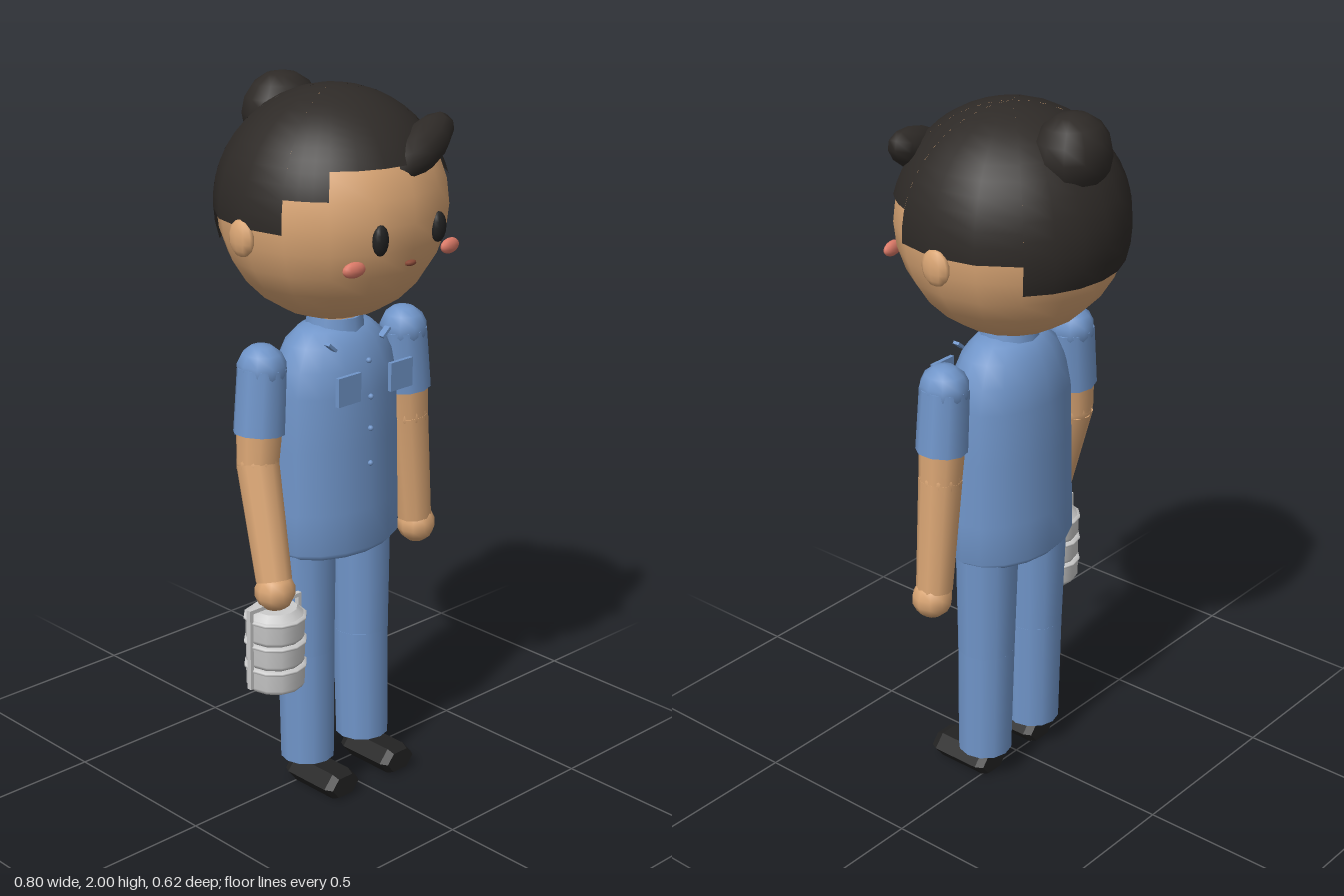
import * as THREE from 'three';

const CX = 0.017; // body centre line
const V = (x, y, z) => new THREE.Vector3(x, y, z);
const mat = (color, side = THREE.FrontSide) => new THREE.MeshStandardMaterial({ color, side });

export function createModel() {
  const model = new THREE.Group();
  model.name = 'uniformedFigure';
  const skin = mat(0xd9a574), cloth = mat(0x7095c9), hair = mat(0x2e2a27, THREE.DoubleSide);
  const dark = mat(0x222222), pink = mat(0xdc7a68), lip = mat(0x8a4a38), metal = mat(0xcccccc);

  const add = (name, geo, material, pos = V(0, 0, 0), parent = model) => {
    const m = new THREE.Mesh(geo, material);
    m.name = name;
    m.position.copy(pos);
    parent.add(m);
    return m;
  };
  const ball = (name, material, pos, rx, ry = rx, rz = rx, seg = 12, parent = model) => {
    const m = add(name, new THREE.SphereGeometry(1, seg, Math.max(6, seg * 0.7 | 0)), material, pos, parent);
    m.scale.set(rx, ry, rz);
    return m;
  };
  // Tapered cylinder running from point a down to point b
  const limb = (name, material, a, b, ra, rb, seg = 10, parent = model) => {
    const d = a.clone().sub(b);
    const m = add(name, new THREE.CylinderGeometry(ra, rb, d.length(), seg), material,
      a.clone().add(b).multiplyScalar(0.5), parent);
    m.quaternion.setFromUnitVectors(V(0, 1, 0), d.normalize());
    return m;
  };

  // Head and face
  const head = new THREE.Group();
  head.name = 'head';
  head.position.set(CX, 1.675, 0);
  model.add(head);
  add('skull', new THREE.SphereGeometry(0.309, 16, 14), skin, V(0, 0, 0), head);
  for (const s of [-1, 1]) {
    ball('ear', skin, V(s * 0.311, -0.043, -0.01), 0.022, 0.05, 0.044, 10, head);
    ball('eye', dark, V(s * 0.105, -0.03, 0.288), 0.025, 0.041, 0.017, 12, head);
    const cheek = ball('cheek', pink, V(s * 0.175, -0.098, 0.264), 0.036, 0.021, 0.015, 12, head);
    cheek.rotation.y = s * 0.12;
  }
  ball('mouth', lip, V(0, -0.106, 0.292), 0.02, 0.008, 0.01, 8, head);

  // Stepped hair cap: [start angle, end angle from the front, height of lower edge]
  const hairCap = new THREE.Group();
  hairCap.name = 'hairCap';
  head.add(hairCap);
  const rad = THREE.MathUtils.degToRad, hr = 0.316;
  for (const [a0, a1, y] of [[0, 45, 0.147], [45, 67.5, 0.075], [67.5, 135, -0.015], [135, 180, -0.1]])
    for (const s of [-1, 1]) {
      const start = s > 0 ? 90 + a0 : 90 - a1;
      add('hairPanel', new THREE.SphereGeometry(hr, (a1 - a0) / 22.5, 12, rad(start), rad(a1 - a0),
        0, Math.acos(y / hr)), hair, V(0, 0, 0), hairCap);
    }
  ball('hairBun', hair, V(0, 0.217, -0.198), 0.113, 0.108, 0.1, 12, head);
  const fringe = ball('fringe', hair, V(0.108, 0.17, 0.222), 0.153, 0.058, 0.058, 10, head);
  fringe.rotation.set(0, 0.3, 0.32);

  // Shirt
  const profile = [[0, 0.697], [0.14, 0.7], [0.185, 0.715], [0.21, 0.735], [0.208, 0.85], [0.204, 1.03],
    [0.2, 1.18], [0.185, 1.25], [0.155, 1.31], [0.115, 1.345], [0.07, 1.36], [0, 1.362]];
  const shirt = add('shirt', new THREE.LatheGeometry(
    profile.map(([r, y]) => new THREE.Vector2(r, y)), 16), cloth, V(CX, 0, 0.008));
  shirt.scale.z = 0.69;
  add('collar', new THREE.CylinderGeometry(0.077, 0.085, 0.05, 12), cloth, V(CX, 1.35, 0.01));
  add('neck', new THREE.CylinderGeometry(0.07, 0.07, 0.08, 12), skin, V(CX, 1.36, 0.01));
  for (const s of [-1, 1]) {
    const tip = add('collarTip', new THREE.BoxGeometry(0.035, 0.008, 0.02), cloth, V(CX + s * 0.1, 1.318, 0.1));
    tip.rotation.z = s * 0.7;
    add('pocket', new THREE.BoxGeometry(0.082, 0.08, 0.012), cloth, V(CX + s * 0.097, 1.215, 0.165));
  }
  for (const y of [1.27, 1.17, 1.08, 0.98])
    ball('button', cloth, V(CX, y, y > 1.2 ? 0.142 : 0.151), 0.008, 0.008, 0.008, 8);

  // Legs and shoes
  const sole = new THREE.Shape([[-0.026, 0.012], [0.026, 0.012], [0.05, 0.042], [0.026, 0.07], [-0.026, 0.07],
    [-0.05, 0.042]].map(([x, y]) => new THREE.Vector2(x, y)));
  const shoeGeo = new THREE.ExtrudeGeometry(sole,
    { depth: 0.15, bevelThickness: 0.022, bevelSize: 0.009, bevelSegments: 1 });
  for (const s of [-1, 1]) {
    const leg = new THREE.Group();
    leg.name = s > 0 ? 'leftLeg' : 'rightLeg';
    model.add(leg);
    const x = CX + s * 0.106;
    limb('thigh', cloth, V(x, 0.725, 0.003), V(x, 0.42, 0.008), 0.088, 0.081, 12, leg);
    limb('shin', cloth, V(x, 0.42, 0.008), V(x + s * 0.002, 0.086, 0.014), 0.081, 0.077, 12, leg);
    add('shoe', shoeGeo, dark, V(x + s * 0.003, 0, 0), leg);
  }

  // Arms: the right one reaches forward to hold the carrier
  const arm = (name, shoulder, elbow, wrist, hand) => {
    const g = new THREE.Group();
    g.name = name;
    model.add(g);
    const cuff = shoulder.clone().lerp(elbow, 0.68);
    ball('shoulder', cloth, shoulder, 0.066, 0.067, 0.07, 10, g);
    limb('sleeve', cloth, shoulder, cuff, 0.067, 0.07, 10, g);
    limb('upperArm', skin, cuff, elbow, 0.062, 0.058, 10, g);
    ball('elbow', skin, elbow, 0.058, 0.058, 0.058, 10, g);
    limb('forearm', skin, elbow, wrist, 0.059, 0.05, 10, g);
    ball('hand', skin, hand, 0.056, 0.056, 0.056, 10, g);
  };
  arm('leftArm', V(0.28, 1.277, 0.01), V(0.302, 1.02, 0.01), V(0.334, 0.7, 0.01), V(0.341, 0.674, 0.012));
  arm('rightArm', V(-0.247, 1.277, 0.01), V(-0.274, 1.02, 0.02), V(-0.305, 0.72, 0.115), V(-0.308, 0.693, 0.122));

  // Stacked lunch carrier
  const carrier = new THREE.Group();
  carrier.name = 'lunchCarrier';
  carrier.position.set(-0.308, 0.42, 0.122);
  model.add(carrier);
  const cup = [[0, 0], [0.074, 0], [0.081, 0.012], [0.081, 0.056], [0.086, 0.06], [0.086, 0.066], [0.074, 0.07], [0, 0.07]]
    .map(([r, y]) => new THREE.Vector2(r, y));
  for (let i = 0; i < 3; i++) add('foodTier', new THREE.LatheGeometry(cup, 12), metal, V(0, i * 0.07, 0), carrier);
  add('lid', new THREE.CylinderGeometry(0.06, 0.078, 0.018, 12), metal, V(0, 0.218, 0), carrier);
  for (const s of [-1, 1])
    add('sidePost', new THREE.BoxGeometry(0.011, 0.228, 0.014), metal, V(s * 0.087, 0.125, -0.003), carrier);
  add('handleBar', new THREE.BoxGeometry(0.185, 0.011, 0.014), metal, V(0, 0.236, -0.003), carrier);

  return model;
}
